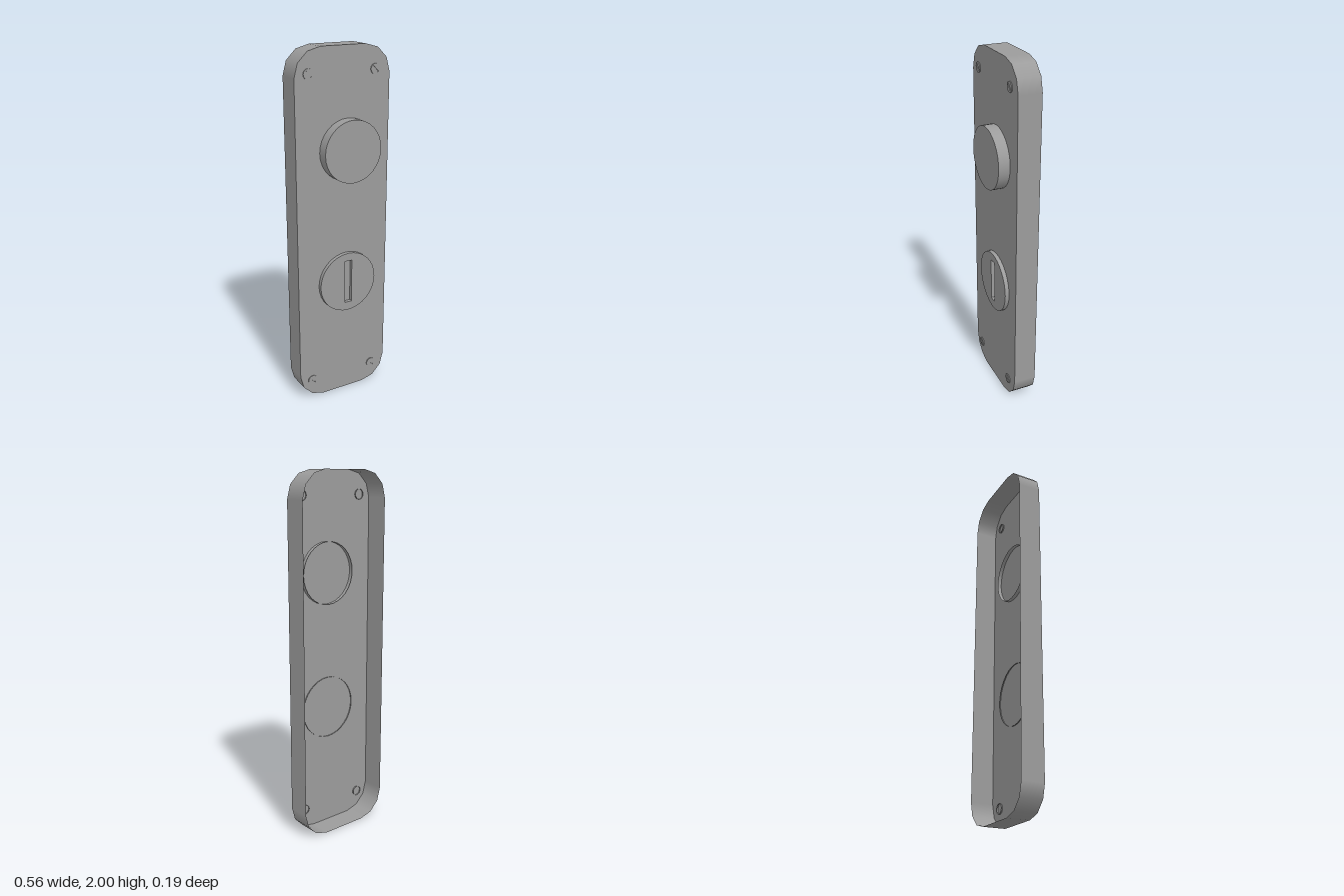
import * as THREE from 'three';

const material = new THREE.MeshStandardMaterial({ color: 0x9c9c9c, side: THREE.DoubleSide });

// Point on an arc that remembers which way its wall should face
function arcPoint(cx, cy, r, angle) {
  const point = new THREE.Vector2(cx + r * Math.cos(angle), cy + r * Math.sin(angle));
  return Object.assign(point, { angle });
}

// Counter-clockwise outline of a rounded rectangle
function roundedRect(cx, cy, w, h, r, segments) {
  const points = [];
  const corners = [[1, 1], [-1, 1], [-1, -1], [1, -1]];
  corners.forEach(([sx, sy], c) => {
    for (let i = 0; i <= segments; i++) {
      points.push(arcPoint(cx + sx * (w / 2 - r), cy + sy * (h / 2 - r), r, (c + i / segments) * Math.PI / 2));
    }
  });
  return points;
}

function circle(cx, cy, r, sides) {
  return Array.from({ length: sides }, (_, i) => arcPoint(cx, cy, r, i / sides * Math.PI * 2));
}

// Clockwise outline of a turned rectangle, so that its walls face inwards
function slotOutline(cx, cy, w, h, turn) {
  const centre = new THREE.Vector2(cx, cy);
  return [[-1, -1], [-1, 1], [1, 1], [1, -1]].map(([sx, sy]) =>
    new THREE.Vector2(cx + sx * w / 2, cy + sy * h / 2).rotateAround(centre, turn));
}

// Wall swept along z: smooth around arcs, sharp around slots
function wall(points, zBack, zFront) {
  const position = [], normal = [], index = [];
  const n = points.length;
  points.forEach((p, i) => {
    position.push(p.x, p.y, zBack, p.x, p.y, zFront);
    const nx = Math.cos(p.angle), ny = Math.sin(p.angle);
    normal.push(nx, ny, 0, nx, ny, 0);
    const a = i * 2, b = ((i + 1) % n) * 2;
    index.push(a, b, b + 1, a, b + 1, a + 1);
  });
  const geometry = new THREE.BufferGeometry();
  geometry.setAttribute('position', new THREE.Float32BufferAttribute(position, 3));
  geometry.setIndex(index);
  if (points[0].angle !== undefined) {
    geometry.setAttribute('normal', new THREE.Float32BufferAttribute(normal, 3));
    return geometry;
  }
  const sharp = geometry.toNonIndexed();
  sharp.computeVertexNormals();
  return sharp;
}

// Flat face at the given depth, with an optional opening
function face(points, z, hole) {
  const shape = new THREE.Shape(points);
  if (hole) shape.holes.push(new THREE.Path(hole));
  return new THREE.ShapeGeometry(shape).translate(0, 0, z);
}

// Thin part with one open end: a wall and a face
function shell(name, points, zOpen, zFace, hole) {
  const group = new THREE.Group();
  group.name = name;
  const [zBack, zFront] = [Math.min(zOpen, zFace), Math.max(zOpen, zFace)];
  const side = new THREE.Mesh(wall(points, zBack, zFront), material);
  const cap = new THREE.Mesh(face(points, zFace, hole), material);
  side.name = name + 'Wall';
  cap.name = name + 'Face';
  group.add(side, cap);
  return group;
}

export function createModel() {
  const model = new THREE.Group();
  model.name = 'doorLockPlate';

  // Hollow plate, open at the back
  model.add(shell('plate', roundedRect(0, 1, 0.562, 2, 0.15, 3), -0.096, 0.032));

  // Upper raised button
  model.add(shell('button', circle(0.028, 1.457, 0.17, 32), 0.01, 0.095));

  // Lower disc with a recessed key slot
  const keySlot = slotOutline(0.021, 0.698, 0.044, 0.254, 0);
  model.add(shell('keyDisc', circle(0.02, 0.696, 0.175, 32), 0.026, 0.055, keySlot));
  model.add(shell('keySlot', keySlot, 0.055, 0.034));

  // Four screw heads with a diagonal slot
  for (const x of [-0.204, 0.191]) {
    for (const y of [0.112, 1.869]) {
      const screwSlot = slotOutline(x, y, 0.007, 0.044, Math.PI / 4);
      model.add(shell('screwHead', circle(x, y, 0.028, 16), 0.025, 0.037, screwSlot));
      model.add(shell('screwSlot', screwSlot, 0.037, 0.033));
    }
  }
  return model;
}
